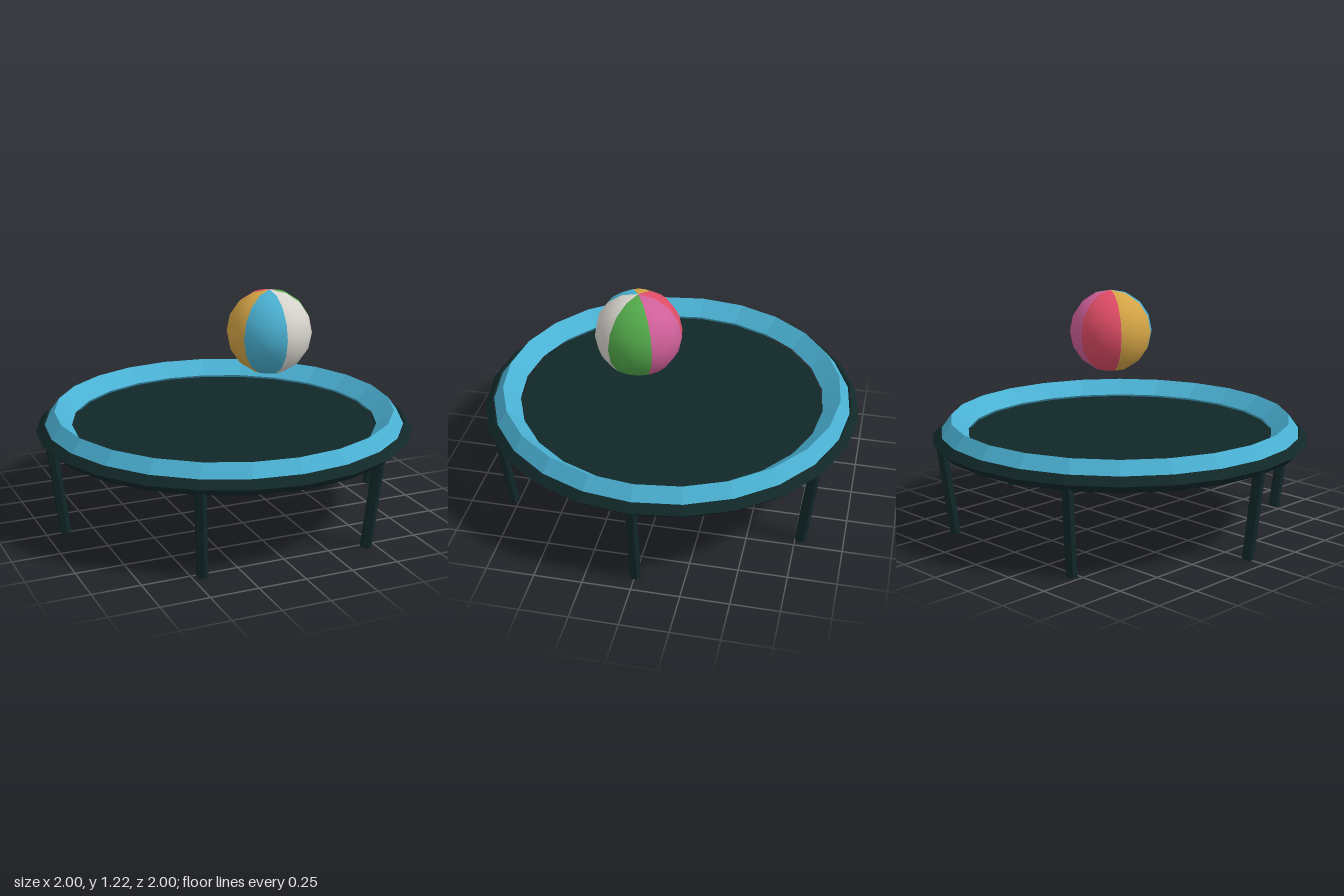
import * as THREE from 'three';

const material = (name, color, side = THREE.FrontSide) => {
  const m = new THREE.MeshStandardMaterial({ color, side });
  m.name = name;
  return m;
};

// Faceted ring from a closed four-cornered section of [radius, height] points
function ring(name, section, mat) {
  const points = [...section, section[0]].map(([r, y]) => new THREE.Vector2(r, y));
  const geometry = new THREE.LatheGeometry(points, 24).toNonIndexed();
  geometry.computeVertexNormals();
  const mesh = new THREE.Mesh(geometry, mat);
  mesh.name = name;
  return mesh;
}

export function createModel() {
  const model = new THREE.Group();
  model.name = 'trampolineWithBall';
  const dark = material('darkFrame', 0x112728, THREE.DoubleSide);
  const blue = material('blue', 0x4ab0d2);

  // Frame and padded cover
  model.add(ring('frame', [[0.96, 0.445], [1, 0.485], [0.96, 0.525], [0.92, 0.485]], dark));
  model.add(ring('pad', [[0.9, 0.435], [0.956, 0.512], [0.9, 0.588], [0.81, 0.512]], blue));

  // Jumping mat
  const mat = new THREE.Mesh(new THREE.CircleGeometry(0.807, 24), dark);
  mat.name = 'mat';
  mat.rotation.x = -Math.PI / 2;
  mat.position.y = 0.503;
  model.add(mat);

  // Six legs leaning outwards towards the frame
  const bottom = new THREE.Vector3(0.897, 0.004, 0);
  const top = new THREE.Vector3(0.957, 0.485, 0);
  const lean = top.clone().sub(bottom);
  const legGeometry = new THREE.CylinderGeometry(0.03, 0.03, lean.length(), 6).toNonIndexed();
  legGeometry.computeVertexNormals();
  for (let i = 0; i < 6; i++) {
    const pivot = new THREE.Group();
    pivot.name = 'leg' + (i + 1);
    const leg = new THREE.Mesh(legGeometry, dark);
    leg.name = 'legTube';
    leg.position.copy(bottom).add(top).multiplyScalar(0.5);
    leg.rotation.z = -Math.atan2(lean.x, lean.y);
    pivot.rotation.y = i * Math.PI / 3;
    pivot.add(leg);
    model.add(pivot);
  }

  // Beach ball made of six coloured wedges
  const ball = new THREE.Group();
  ball.name = 'ball';
  ball.position.set(0.2, 1, 0.13);
  const colours = [
    blue,
    material('white', 0xd6d3cc),
    material('green', 0x52a84a),
    material('pink', 0xd0609a),
    material('red', 0xde4c66),
    material('yellow', 0xd4a446),
  ];
  colours.forEach((colour, i) => {
    const start = Math.PI / 6 + i * Math.PI / 3;
    const wedge = new THREE.Mesh(new THREE.SphereGeometry(0.223, 2, 8, start, Math.PI / 3), colour);
    wedge.name = colour.name + 'Wedge';
    ball.add(wedge);
  });
  model.add(ball);
  return model;
}
